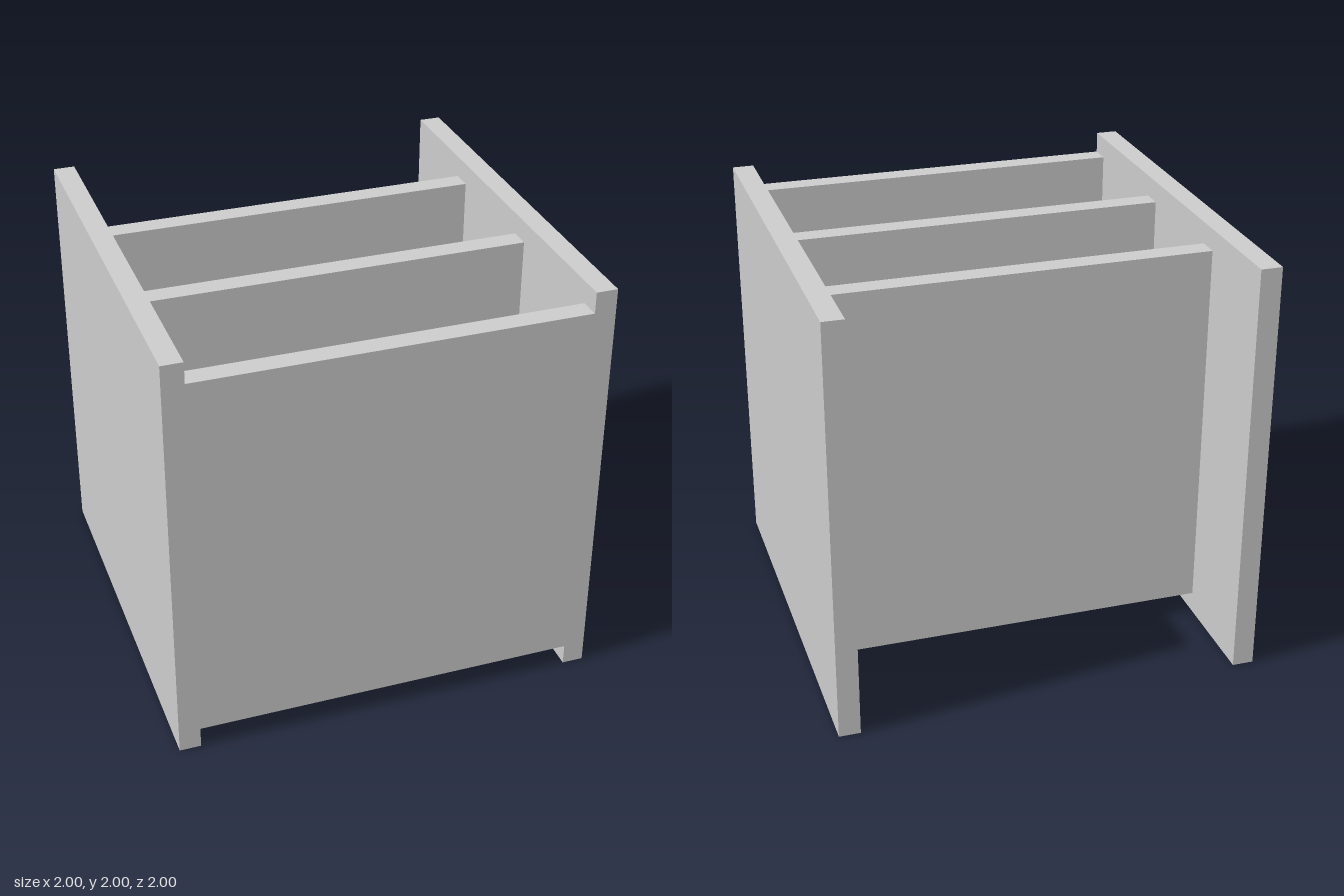
import * as THREE from 'three';

export function createModel() {
  const group = new THREE.Group();
  const material = new THREE.MeshStandardMaterial({ color: 0xcccccc });
  const thickness = 0.1;

  function addPanel(name, width, height, depth, x, z) {
    const panel = new THREE.Mesh(new THREE.BoxGeometry(width, height, depth), material);
    panel.name = name;
    panel.position.set(x, 1, z);
    group.add(panel);
  }

  // Full-height side panels
  addPanel('leftSide', thickness, 2, 2, 0.95, 0);
  addPanel('rightSide', thickness, 2, 2, -0.95, 0);

  // Shorter upright panels spanning between the sides
  const uprights = { frontPanel: 0.95, middleDivider: 0.23, rearDivider: -0.45 };
  for (const [name, z] of Object.entries(uprights)) {
    addPanel(name, 1.8, 1.8, thickness, 0, z);
  }

  return group;
}
